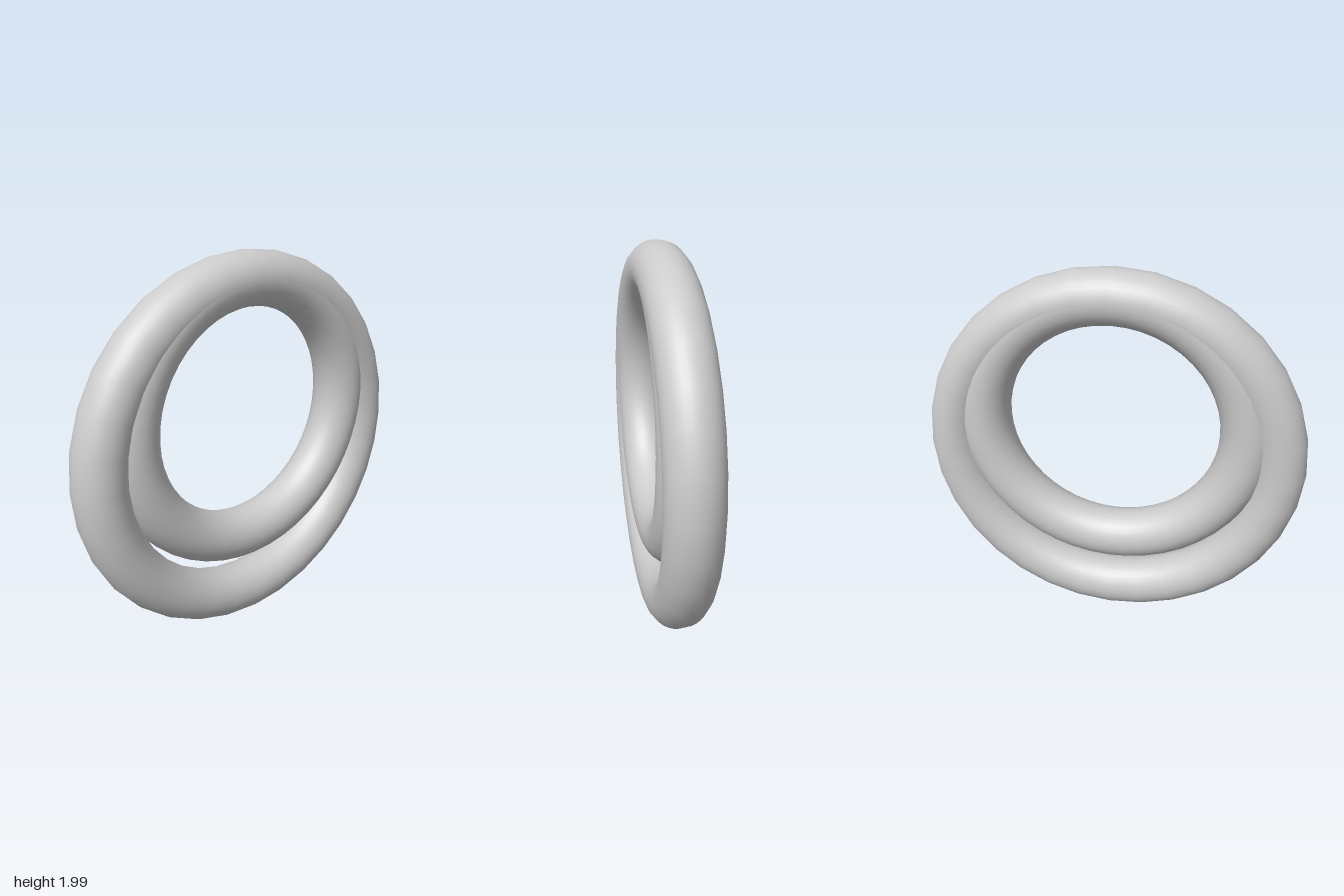
import * as THREE from 'three';

const TUBE = 0.136;

export function createModel() {
  const group = new THREE.Group();
  const material = new THREE.MeshStandardMaterial({ color: 0xcccccc });

  // One upright ring, given its centre-line radius and centre height
  function addRing(name, radius, y, segments) {
    const ring = new THREE.Mesh(new THREE.TorusGeometry(radius, TUBE, 32, segments), material);
    ring.name = name;
    ring.position.y = y;
    group.add(ring);
  }

  // Large ring, with the small ring nested inside and merging at the top
  addRing('outerRing', 0.861, 1.003, 32);
  addRing('innerRing', 0.686, 1.176, 48);

  return group;
}
